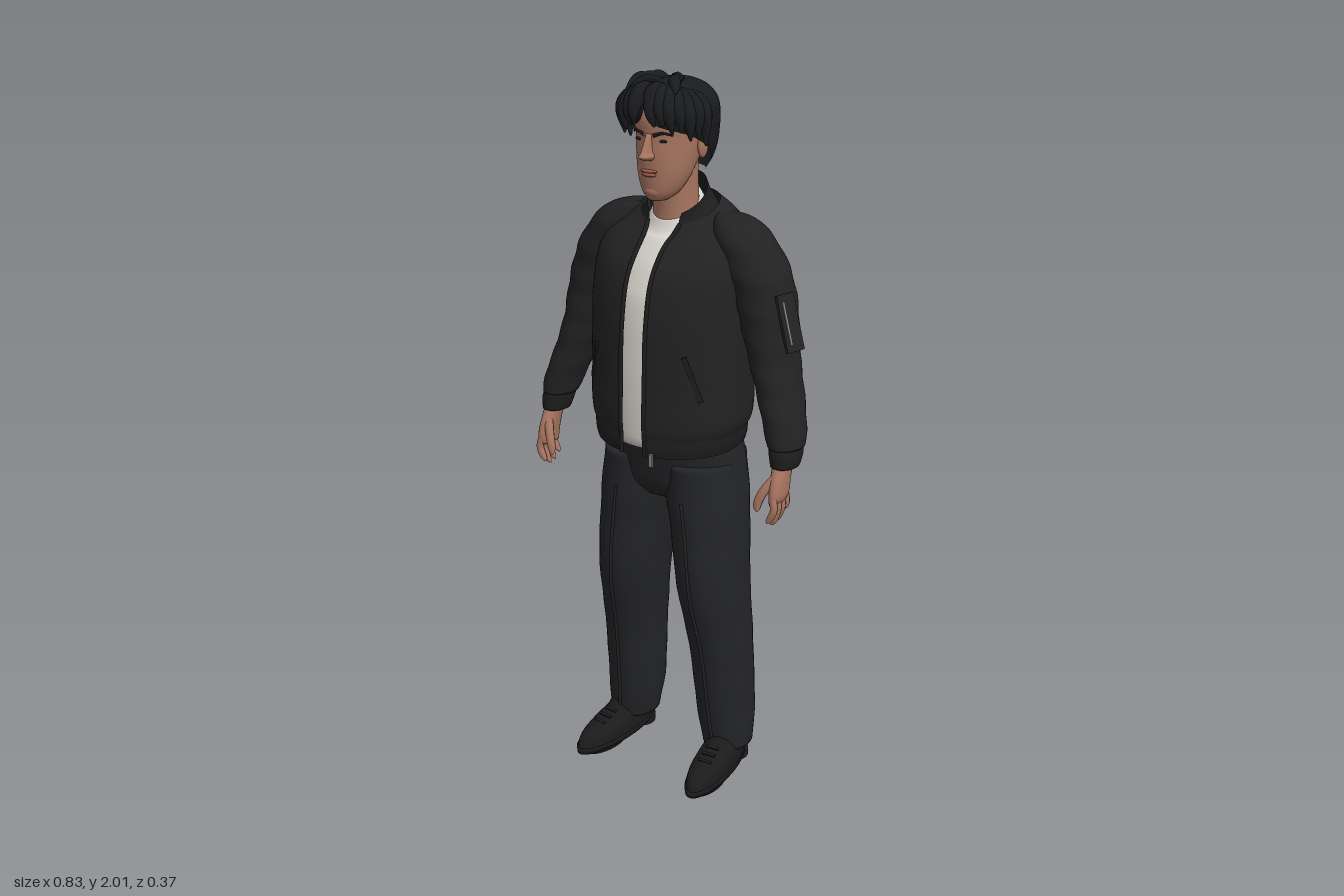
import * as THREE from 'three';

const mat = (name, color, double) => {
  const m = new THREE.MeshStandardMaterial({ color });
  m.name = name;
  if (double) m.side = THREE.DoubleSide;
  return m;
};

// Point on a section [y, cx, cz, rx, rz, tilt, openAngle]; the back half is squarer by power pb
function ringPoint([y, cx, cz, rx, rz, tilt = 0], t, pb = 2) {
  const s = Math.sin(t), c = Math.cos(t), e = 2 / (c < 0 ? pb : 2);
  const z = rz * Math.sign(c) * Math.abs(c) ** e;
  return new THREE.Vector3(cx + rx * Math.sign(s) * Math.abs(s) ** e, y - tilt * z, cz + z);
}

// Smoothly adds sections between the given ones
function refine(sections, k) {
  const at = (i) => sections[Math.max(0, Math.min(sections.length - 1, i))];
  const out = [];
  for (let i = 0; i < sections.length - 1; i++) {
    for (let j = 0; j < k; j++) {
      const u = j / k;
      out.push([0, 1, 2, 3, 4, 5, 6].map((q) => {
        const [a, b, c, d] = [-1, 0, 1, 2].map((o) => at(i + o)[q] || 0);
        return b + 0.5 * u * (c - a + u * (2 * a - 5 * b + 4 * c - d + u * (3 * (b - c) + d - a)));
      }));
    }
  }
  out.push([0, 1, 2, 3, 4, 5, 6].map((q) => at(sections.length - 1)[q] || 0));
  return out;
}

// Skin over sections listed from bottom to top; fold adds cloth wrinkles
function loft(sections, { n = 40, k = 4, pb = 2, fold = 0, freq = 70, capTop = true, capBottom = true } = {}) {
  const open = sections.some((s) => s[6]);
  const rows = refine(sections, k), cols = open ? n + 1 : n;
  const pos = [], idx = [];
  for (const r of rows) {
    const a = Math.max(0, r[6]);
    for (let j = 0; j < cols; j++) {
      const t = a + (j / n) * (2 * Math.PI - 2 * a);
      const w = 1 + fold * Math.sin(r[0] * freq + 2 * Math.sin(t + 1));
      pos.push(...ringPoint([r[0], r[1], r[2], r[3] * w, r[4] * w, r[5]], t, pb).toArray());
    }
  }
  for (let i = 0; i < rows.length - 1; i++) {
    for (let j = 0; j < n; j++) {
      const a = i * cols + j, b = i * cols + ((j + 1) % cols);
      idx.push(a, b, b + cols, a, b + cols, a + cols);
    }
  }
  const cap = (row, up) => {
    const r = rows[row], c = pos.length / 3;
    pos.push(r[1], r[0], r[2]);
    for (let j = 0; j < n; j++) {
      const a = row * cols + j, b = row * cols + ((j + 1) % cols);
      idx.push(...(up ? [a, b, c] : [b, a, c]));
    }
  };
  if (capTop) cap(rows.length - 1, true);
  if (capBottom) cap(0, false);
  const g = new THREE.BufferGeometry();
  g.setAttribute('position', new THREE.Float32BufferAttribute(pos, 3));
  g.setIndex(idx);
  g.computeVertexNormals();
  return g;
}

// Tube along points whose radius follows a function of its length
function sweep(points, radius, segs = 14, sides = 8) {
  const curve = new THREE.CatmullRomCurve3(points.map((p) => (p.isVector3 ? p : new THREE.Vector3(...p))));
  const g = new THREE.TubeGeometry(curve, segs, 1, sides);
  const p = g.attributes.position, v = new THREE.Vector3();
  for (let i = 0; i < p.count; i++) {
    const u = Math.floor(i / (sides + 1)) / segs, c = curve.getPointAt(u);
    v.fromBufferAttribute(p, i).sub(c).multiplyScalar(radius(u)).add(c);
    p.setXYZ(i, v.x, v.y, v.z);
  }
  return g;
}

export function createModel() {
  const root = new THREE.Group();
  root.name = 'standingMan';
  const M = {
    jacket: mat('jacketBlack', 0x222222, true), rib: mat('ribBlack', 0x1d1d1d, true),
    pants: mat('trouserCharcoal', 0x232426), hair: mat('hairBlack', 0x1a1b1d, true),
    shoe: mat('shoeBlack', 0x1b1b1b), skin: mat('skin', 0xa87560),
    shirt: mat('shirtWhite', 0xdcd8d0), lips: mat('lips', 0x95584c),
    metal: mat('zipMetal', 0x8a8a8a),
  };
  const add = (name, g, m, x = 0, y = 0, z = 0, parent = root) => {
    const mesh = new THREE.Mesh(g, m);
    mesh.name = name;
    mesh.position.set(x, y, z);
    parent.add(mesh);
    return mesh;
  };
  const blob = (name, m, x, y, z, sx, sy, sz) =>
    add(name, new THREE.SphereGeometry(1, 20, 14), m, x, y, z).scale.set(sx, sy, sz);
  const gap = (s, half) => [...s, Math.asin(half / s[3])];

  // Head, neck and face
  add('neck', loft([[1.58, 0, -0.04, 0.075, 0.07], [1.66, 0, -0.035, 0.06, 0.062], [1.8, 0, -0.025, 0.06, 0.065]]), M.skin);
  add('head', loft([[1.69, 0, 0.045, 0.026, 0.03], [1.71, 0, 0.033, 0.048, 0.052], [1.75, 0, 0.017, 0.067, 0.073],
    [1.8, 0, 0, 0.078, 0.092], [1.85, 0, -0.015, 0.085, 0.105], [1.9, 0, -0.02, 0.09, 0.11], [1.95, 0, -0.03, 0.07, 0.09]]), M.skin);
  add('nose', loft([[1.797, 0, 0.09, 0.012, 0.018], [1.807, 0, 0.093, 0.018, 0.036], [1.82, 0, 0.09, 0.012, 0.031],
    [1.862, 0, 0.083, 0.008, 0.015]], { n: 16 }), M.skin);
  blob('upperLip', M.lips, 0, 1.768, 0.089, 0.025, 0.005, 0.01);
  blob('lowerLip', M.lips, 0, 1.759, 0.088, 0.021, 0.006, 0.01);
  blob('chin', M.skin, 0, 1.715, 0.066, 0.027, 0.02, 0.023);
  for (const s of [1, -1]) {
    blob('eye', M.hair, s * 0.035, 1.845, 0.079, 0.013, 0.004, 0.006);
    add('eyebrow', sweep([[s * 0.014, 1.859, 0.09], [s * 0.038, 1.866, 0.085], [s * 0.06, 1.86, 0.068]],
      (u) => 0.005 * (1 - 0.6 * u)), M.hair);
    blob('ear', M.skin, s * 0.087, 1.825, -0.025, 0.01, 0.033, 0.02);
  }

  // Hair: cap with an open face, then loose locks
  add('hairCap', loft([[1.75, 0, -0.055, 0.062, 0.07, 0, 2], [1.78, 0, -0.055, 0.08, 0.09, 0, 1.85],
    [1.82, 0, -0.045, 0.097, 0.11, 0, 1.45], [1.86, 0, -0.033, 0.106, 0.125, 0, 0.95], [1.89, 0, -0.025, 0.111, 0.132, 0, 0.2],
    [1.93, 0, -0.022, 0.107, 0.13], [1.962, 0, -0.022, 0.085, 0.104], [1.982, 0, -0.02, 0.05, 0.062], [1.988, 0, -0.02, 0.015, 0.02]],
  { capBottom: false }), M.hair);
  for (const s of [1, -1]) {
    for (let i = 0; i < 7; i++) {
      const a = 0.22 + i * 0.2, x = s * 0.113 * Math.sin(a), z = -0.015 + 0.13 * Math.cos(a);
      const end = 1.885 - 0.009 * i + (i % 2) * 0.012;
      add('fringeLock', sweep([[s * 0.01 + x * 0.25, 1.965, 0.04], [x * 0.75, 1.966 - 0.004 * i, z * 0.85],
        [x * 1.02, 1.92, z + 0.008], [x * 0.98 + s * 0.006, end, z * 0.97]],
      (u) => 0.003 + 0.019 * Math.sin(Math.PI * Math.min(1, u * 0.8 + 0.2))), M.hair);
    }
    for (let i = 0; i < 3; i++) {
      add('crownLock', sweep([[s * 0.02, 1.975, -0.04 + i * 0.03], [s * (0.03 + 0.01 * i), 1.99, 0.01 + i * 0.02],
        [s * (0.055 + 0.01 * i), 1.965, 0.05 + i * 0.015]], (u) => 0.002 + 0.014 * Math.sin(Math.PI * u)), M.hair);
    }
  }
  add('quiff', sweep([[0.03, 1.96, 0.06], [0.01, 1.99, 0.06], [-0.03, 1.988, 0.07], [-0.045, 1.95, 0.1], [-0.03, 1.89, 0.108]],
    (u) => 0.002 + 0.011 * Math.sin(Math.PI * u)), M.hair);

  // Shirt
  add('shirt', loft([[1.035, 0, 0, 0.17, 0.147], [1.2, 0, 0, 0.18, 0.152], [1.4, 0, -0.01, 0.18, 0.15], [1.5, 0, -0.02, 0.17, 0.13],
    [1.58, 0, -0.045, 0.14, 0.107], [1.625, 0, -0.045, 0.09, 0.085, 0.3], [1.665, 0, -0.04, 0.064, 0.067, 0.5]], { fold: 0.008 }), M.shirt);

  // Jacket body, hem and collar
  const body = [[1.075, 0, 0, 0.212, 0.174, 0], [1.11, 0, -0.003, 0.224, 0.18, 0], [1.22, 0, -0.006, 0.225, 0.179, 0],
    [1.38, 0, -0.01, 0.225, 0.175, 0], [1.5, 0, -0.02, 0.224, 0.158, 0], [1.58, 0, -0.043, 0.21, 0.124, 0.05],
    [1.625, 0, -0.053, 0.165, 0.1, 0.25], [1.655, 0, -0.05, 0.105, 0.083, 0.42]]
    .map((s, i) => gap(s, i < 5 ? 0.037 : 0.032 + 0.006 * (i - 4)));
  const hem = [[1.025, 0, 0, 0.203, 0.174, 0], [1.05, 0, 0, 0.209, 0.177, 0], [1.08, 0, 0, 0.211, 0.173, 0]].map((s) => gap(s, 0.037));
  const collar = [[1.645, 0, -0.05, 0.108, 0.085, 0.42, 0.48], [1.67, 0, -0.045, 0.088, 0.077, 0.55, 0.55], [1.69, 0, -0.04, 0.081, 0.073, 0.66, 0.68]];
  const shell = { pb: 2.7, capTop: false, capBottom: false, n: 64 };
  add('jacketBody', loft(body, { ...shell, fold: 0.004, freq: 50 }), M.jacket);
  add('jacketHem', loft(hem, shell), M.rib);
  add('jacketCollar', loft(collar, { ...shell, pb: 2 }), M.rib);

  for (const s of [1, -1]) {
    add('zipEdge', sweep([...hem.slice(0, 1), ...body].map((r) => ringPoint(r, s * r[6])), () => 0.006, 30), M.rib);
    const welt = add('pocketWelt', new THREE.BoxGeometry(0.014, 0.13, 0.009), M.rib, s * 0.155, 1.25, 0.122);
    welt.rotation.set(0, s * 0.65, s * 0.35);

    // Sleeve and cuff
    add('sleeve', loft([[1.08, 0.37, 0, 0.047, 0.06], [1.13, 0.358, -0.01, 0.053, 0.068], [1.21, 0.33, -0.03, 0.058, 0.075],
      [1.3, 0.3, -0.045, 0.064, 0.08], [1.4, 0.275, -0.055, 0.076, 0.085], [1.48, 0.25, -0.06, 0.082, 0.09],
      [1.54, 0.223, -0.06, 0.083, 0.09], [1.6, 0.19, -0.06, 0.073, 0.08], [1.635, 0.165, -0.058, 0.052, 0.06],
      [1.65, 0.145, -0.056, 0.025, 0.035]].map(([y, x, ...r]) => [y, s * x, ...r]), { fold: 0.022, freq: 75, k: 6 }), M.jacket);
    add('cuff', loft([[1.03, s * 0.376, 0.015, 0.036, 0.047], [1.06, s * 0.374, 0.008, 0.042, 0.054], [1.09, s * 0.368, 0, 0.042, 0.055]]), M.rib);

    // Hand with curled fingers
    add('palm', loft([[0.935, 0.376, 0.05, 0.014, 0.036], [0.96, 0.38, 0.05, 0.02, 0.042], [1, 0.378, 0.04, 0.022, 0.04],
      [1.05, 0.375, 0.02, 0.026, 0.03]].map(([y, x, ...r]) => [y, s * x, ...r]), { n: 20 }), M.skin);
    for (let i = 0; i < 4; i++) {
      const z = 0.018 + i * 0.021, tip = 0.87 + [0.022, 0.006, 0.002, 0.014][i];
      add('finger', sweep([[s * 0.38, 0.96, z], [s * 0.386, 0.925, z + 0.004], [s * 0.378, tip + 0.02, z + 0.005], [s * 0.366, tip, z + 0.004]],
        (u) => 0.0105 * Math.sqrt(Math.max(0.02, 1 - u ** 6))), M.skin);
    }
    add('thumb', sweep([[s * 0.372, 1.005, 0.06], [s * 0.352, 0.97, 0.082], [s * 0.341, 0.94, 0.09], [s * 0.338, 0.912, 0.09]],
      (u) => 0.013 * Math.sqrt(Math.max(0.02, 1 - u ** 6))), M.skin);

    // Trouser leg with front crease
    const leg = [[0.07, 0.166, -0.066, 0.07, 0.08], [0.12, 0.163, -0.066, 0.076, 0.087], [0.2, 0.157, -0.065, 0.081, 0.096],
      [0.4, 0.148, -0.05, 0.086, 0.106], [0.6, 0.134, -0.028, 0.093, 0.127], [0.75, 0.122, -0.03, 0.1, 0.132],
      [0.88, 0.108, -0.033, 0.106, 0.135], [0.98, 0.1, -0.035, 0.102, 0.132]].map(([y, x, ...r]) => [y, s * x, ...r]);
    add('trouserLeg', loft(leg, { fold: 0.008, freq: 45 }), M.pants);
    add('trouserCrease', sweep(leg.slice(0, 7).map((r) => ringPoint(r, 0)), () => 0.005, 30, 6), M.pants);

    // Shoe, toes turned slightly out
    const shoe = new THREE.Group();
    shoe.name = 'shoe';
    shoe.position.x = s * 0.177;
    shoe.rotation.y = s * 0.1;
    root.add(shoe);
    add('shoeSole', loft([[0.012, 0, 0.02, 0.053, 0.165], [0.03, 0, 0.02, 0.055, 0.167]], { k: 1 }), M.rib, 0, 0, 0, shoe);
    add('shoeHeel', new THREE.CylinderGeometry(0.045, 0.045, 0.02, 24), M.rib, 0, 0.01, -0.095, shoe);
    add('shoeFront', new THREE.CylinderGeometry(0.048, 0.045, 0.016, 24), M.rib, 0, 0.008, 0.07, shoe).scale.z = 1.9;
    add('shoeUpper', loft([[0.028, 0, 0.02, 0.053, 0.163], [0.055, 0, 0.014, 0.052, 0.154], [0.075, 0, -0.008, 0.048, 0.127],
      [0.095, 0, -0.045, 0.045, 0.09], [0.15, 0, -0.065, 0.042, 0.066]]), M.shoe, 0, 0, 0, shoe);
    for (let i = 0; i < 3; i++) {
      const lace = add('lace', new THREE.BoxGeometry(0.04, 0.006, 0.008), M.rib, 0, 0.081 + i * 0.009, 0.092 - i * 0.024, shoe);
      lace.rotation.x = 0.4;
    }
  }

  // Trouser seat
  add('trouserSeat', loft([[0.86, 0, -0.035, 0.14, 0.09], [0.9, 0, -0.035, 0.2, 0.122], [0.96, 0, -0.035, 0.207, 0.135],
    [1.05, 0, -0.02, 0.195, 0.135]], { pb: 2.4 }), M.pants);

  // Sleeve pocket and zips
  const pocket = new THREE.Group();
  pocket.name = 'sleevePocket';
  pocket.position.set(0.351, 1.4, -0.03);
  pocket.rotation.set(0, -0.25, 0.32);
  root.add(pocket);
  add('pocketPatch', new THREE.BoxGeometry(0.009, 0.15, 0.06), M.jacket, 0, 0, 0, pocket);
  add('pocketZip', new THREE.BoxGeometry(0.006, 0.11, 0.005), M.metal, 0.004, 0, 0.014, pocket);
  add('zipPull', new THREE.BoxGeometry(0.01, 0.035, 0.008), M.metal, 0.06, 1.02, 0.174);
  return root;
}
